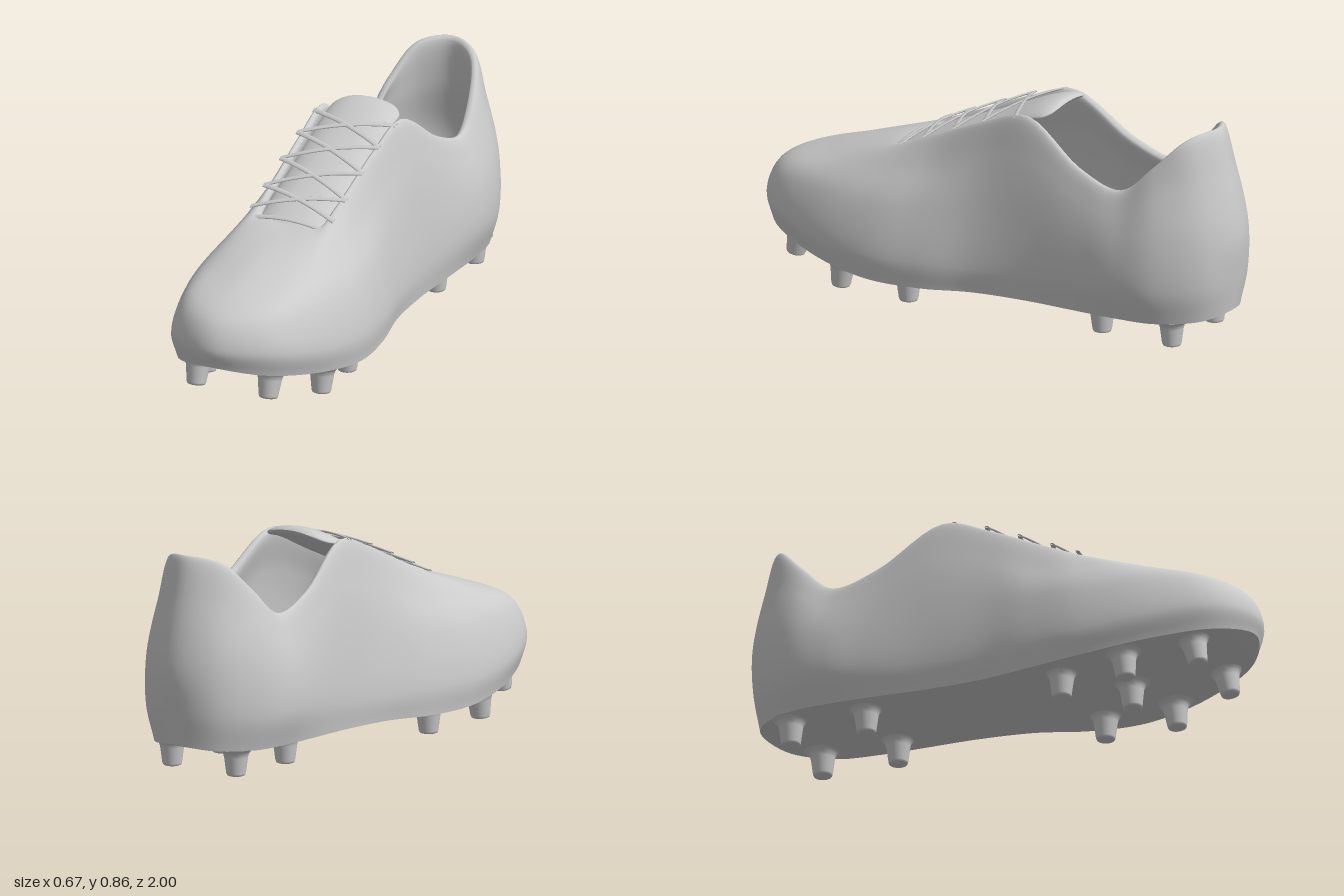
import * as THREE from 'three';

const V = (x, y, z) => new THREE.Vector3(x, y, z);

// Half outlines from the toe tip round the +x side to the heel, bottom to top
const SOLE_EDGE = [[0, .21, .985], [.17, .18, .9], [.28, .135, .68], [.32, .1, .42], [.295, .097, .2], [.25, .108, 0],
  [.235, .117, -.22], [.24, .125, -.45], [.24, .13, -.62], [.22, .135, -.78], [.13, .145, -.92], [0, .16, -.97]];
const BULGE = [[0, .28, 1], [.19, .27, .91], [.295, .23, .7], [.333, .2, .42], [.305, .2, .2], [.262, .2, 0],
  [.248, .22, -.22], [.262, .24, -.45], [.275, .25, -.62], [.255, .26, -.78], [.15, .28, -.94], [0, .3, -.99]];
const SHOULDER = [[0, .38, .95], [.17, .39, .86], [.26, .39, .66], [.29, .39, .4], [.265, .41, .2], [.235, .44, 0],
  [.235, .45, -.22], [.255, .4, -.45], [.27, .4, -.62], [.25, .45, -.78], [.15, .47, -.94], [0, .45, -1]];
const INSTEP = [[0, .473, .74], [.13, .475, .68], [.2, .49, .55], [.22, .51, .36], [.21, .54, .18], [.195, .62, 0],
  [.205, .66, -.22], [.225, .56, -.45], [.235, .53, -.62], [.21, .63, -.765], [.13, .68, -.9], [0, .7, -.955]];
const RIM = [[0, .568, .39], [.07, .57, .39], [.13, .572, .38], [.145, .61, .3], [.15, .668, .17], [.155, .745, 0],
  [.165, .805, -.19], [.19, .66, -.43], [.195, .612, -.61], [.177, .72, -.74], [.12, .83, -.85], [0, .855, -.91]];

const scaled = (pts, sx, sz, dy, cz = 0) => pts.map(([x, y, z]) => [x * sx, y + dy, cz + (z - cz) * sz]);

// Closed loop from a half outline and its mirror image
function ring(half) {
  const mirrored = half.slice(1, -1).reverse().map(([x, y, z]) => [-x, y, z]);
  return new THREE.CatmullRomCurve3([...half, ...mirrored].map(p => V(...p)), true);
}

// Grid surface from fn(u, v) -> Vector3, optionally closed in u
function surface(nu, nv, closed, fn) {
  const pos = [], index = [], cols = closed ? nu : nu + 1;
  for (let j = 0; j <= nv; j++)
    for (let i = 0; i < cols; i++) pos.push(...fn(i / nu, j / nv).toArray());
  for (let j = 0; j < nv; j++)
    for (let i = 0; i < nu; i++) {
      const a = j * cols + i, b = j * cols + (i + 1) % cols;
      index.push(a, b, a + cols, b, b + cols, a + cols);
    }
  const g = new THREE.BufferGeometry();
  g.setAttribute('position', new THREE.Float32BufferAttribute(pos, 3));
  g.setIndex(index);
  g.computeVertexNormals();
  return g;
}

// Sheet spanning a ring from side to side; dir 1 faces up, -1 faces down
function sheet(curve, dir) {
  return surface(8, 66, false, (u, v) => {
    const p = curve.getPoint(v / 2);
    return V(p.x * (2 * u - 1) * dir, p.y, p.z);
  });
}

export function createModel() {
  const boot = new THREE.Group();
  boot.name = 'footballBoot';
  const mat = new THREE.MeshStandardMaterial({ color: 0xcccccc, roughness: 0.7, side: THREE.DoubleSide });
  const add = (geo, name, parent = boot) => {
    const m = new THREE.Mesh(geo, mat);
    m.name = name;
    parent.add(m);
    return m;
  };

  // Upper: outer wall, rolled rim and inner lining in one skin
  const floorRing = ring(scaled(SOLE_EDGE, .85, .93, .06));
  const rings = [
    ...[SOLE_EDGE, BULGE, SHOULDER, INSTEP, RIM, scaled(RIM, .9, .97, -.012, -.26),
      scaled(INSTEP, .88, .93, -.02), scaled(SHOULDER, .85, .93, 0)].map(ring), floorRing];
  const nu = 132;
  const columns = Array.from({ length: nu }, (_, i) =>
    new THREE.CatmullRomCurve3(rings.map(r => r.getPoint(i / nu))));
  add(surface(nu, 64, true, (u, v) => columns[Math.round(u * nu)].getPoint(v)), 'upper');

  // Sole plate and insole
  add(sheet(rings[0], -1), 'solePlate');
  add(sheet(floorRing, 1), 'insole');

  // Tongue: padded strip with a rounded, thinning tip
  const tonguePath = new THREE.CatmullRomCurve3([V(0, .54, .42), V(0, .64, .2), V(0, .728, 0),
    V(0, .81, -.18), V(0, .832, -.27)]);
  add(surface(40, 36, true, (u, v) => {
    const t = Math.max(0, (v - .84) / .16), end = Math.sqrt(Math.max(0, 1 - t * t));
    const a = u * Math.PI * 2, c = Math.cos(a);
    const x = .138 * (.5 + .5 * end) * Math.sign(c) * Math.abs(c) ** .6;
    const p = tonguePath.getPoint(v);
    return V(x, p.y - 1.3 * x * x - .019 * end * Math.sin(a), p.z);
  }), 'tongue');

  // Laces: flat ribbons crossing between the eyelets
  const laces = new THREE.Group();
  laces.name = 'laces';
  boot.add(laces);
  const across = V(0, -.4, .91), up = V(0, .91, .4);
  function lace(from, to) {
    const [z0, y0] = from, [z1, y1] = to;
    add(surface(8, 20, true, (u, v) => {
      const a = u * Math.PI * 2, s = 2 * v - 1;
      return V(.17 * s, y0 + (y1 - y0) * v + .016 * (1 - s * s), z0 + (z1 - z0) * v)
        .addScaledVector(across, .011 * Math.sin(a))
        .addScaledVector(up, .004 * Math.cos(a));
    }), 'lace', laces);
  }
  const eyelets = [[-.14, .798], [-.01, .757], [.12, .7], [.25, .64], [.35, .592]];
  for (let i = 0; i < eyelets.length - 1; i++) {
    lace(eyelets[i], eyelets[i + 1]);
    lace(eyelets[i + 1], eyelets[i]);
  }
  const bar = [.385, .567];
  lace(bar, bar);
  laces.children.at(-1).scale.x = .82;

  // Studs: tapered pegs with a flared foot and rounded tip
  const studGeo = new THREE.LatheGeometry([[0, -.1], [.026, -.1], [.033, -.097], [.036, -.09], [.044, -.03],
    [.048, -.016], [.056, -.005], [.068, .004]].map(p => new THREE.Vector2(...p)), 28);
  const studs = new THREE.Group();
  studs.name = 'studs';
  boot.add(studs);
  const stud = (x, y, z, tilt) => {
    const m = add(studGeo, 'stud', studs);
    m.position.set(x, y, z);
    m.rotation.x = tilt;
  };
  const pairs = [[.148, .16, .8, -.2], [.235, .113, .56, -.1], [.2, .1, .3, 0], [.145, .128, -.5, 0], [.145, .135, -.8, 0]];
  for (const [x, y, z, tilt] of pairs) for (const side of [-1, 1]) stud(side * x, y, z, tilt);
  stud(0, .105, .49, -.05);

  return boot;
}
